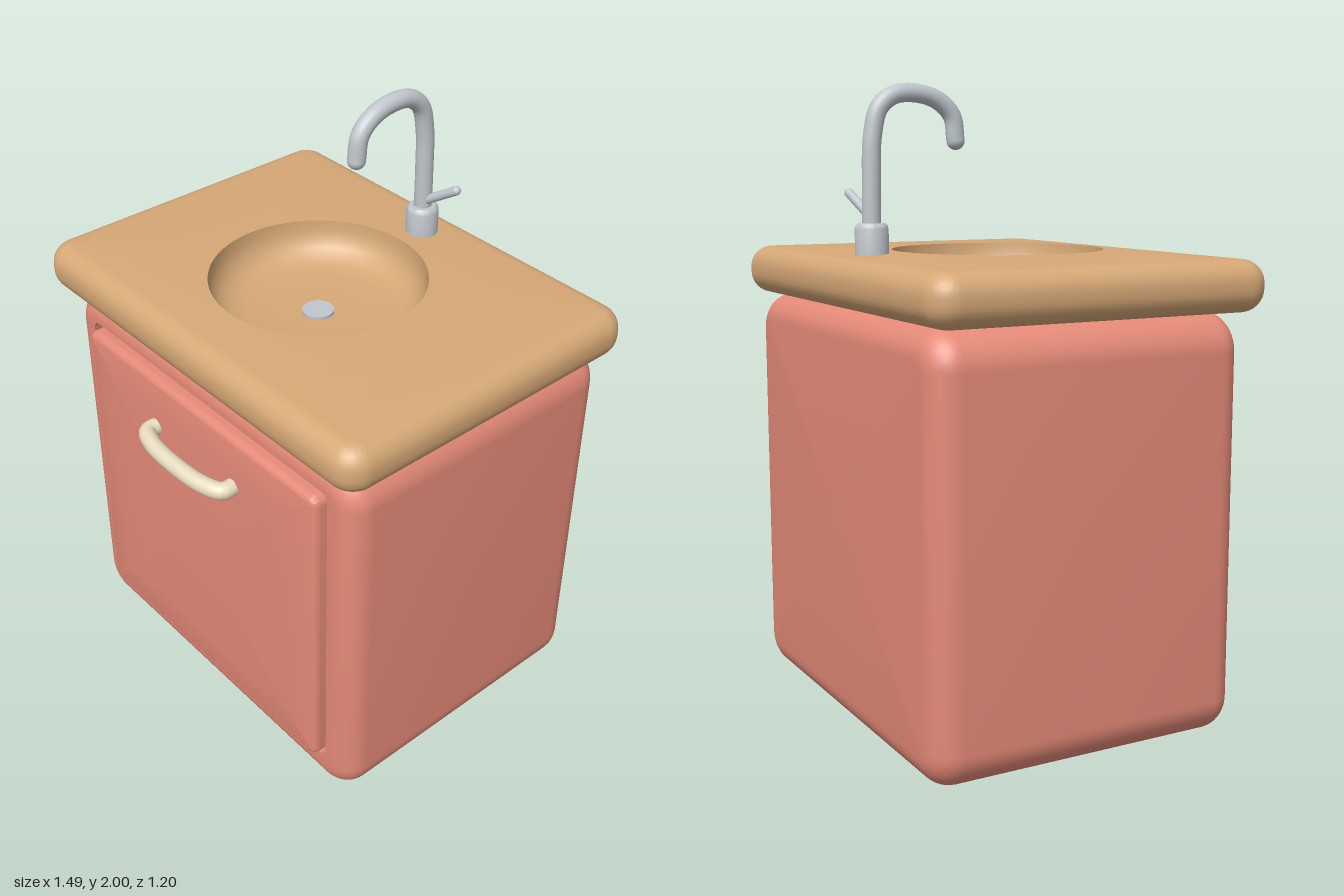
import * as THREE from 'three';
import { toCreasedNormals } from 'three/addons/utils/BufferGeometryUtils.js';

const paint = (color) => new THREE.MeshStandardMaterial({ color });
const coral = paint(0xe58a78);
const wood = paint(0xd6a877);
const metal = paint(0xc0c6cc);
const cream = paint(0xe8dcc0);

const CORNER = 16; // segments in each corner arc

// One rounded-rectangle outline at height z; r equal to both half sizes makes a circle
const ring = (hx, hy, r, z, cy = 0) => {
  const pts = [];
  r = Math.max(0, Math.min(r, hx, hy));
  [[1, 1], [-1, 1], [-1, -1], [1, -1]].forEach(([sx, sy], q) => {
    for (let i = 0; i <= CORNER; i++) {
      const a = (q + i / CORNER) * Math.PI / 2;
      pts.push([sx * (hx - r) + r * Math.cos(a), cy + sy * (hy - r) + r * Math.sin(a), z]);
    }
  });
  return pts;
};

// Rings of a quarter-round edge, at the bottom (dir -1) or the top (dir 1) of a block
const roundEdge = (hx, hy, r, e, z, dir, cy = 0, steps = 8) => {
  const rings = [];
  for (let i = 0; i <= steps; i++) {
    const t = (dir > 0 ? i : steps - i) / steps * Math.PI / 2;
    const inset = e * (1 - Math.cos(t));
    rings.push(ring(hx - inset, hy - inset, r - inset, z - dir * e * (1 - Math.sin(t)), cy));
  }
  return rings;
};

// Skin over a stack of rings, closed at both ends
function loft(rings) {
  const n = rings[0].length;
  const pos = rings.flat(2);
  const idx = [];
  for (let k = 0; k < rings.length - 1; k++) {
    for (let j = 0; j < n; j++) {
      const a = k * n + j, b = k * n + (j + 1) % n;
      idx.push(a, b, b + n, a, b + n, a + n);
    }
  }
  [rings[0], rings[rings.length - 1]].forEach((cap, side) => {
    const c = pos.length / 3;
    const base = side ? (rings.length - 1) * n : 0;
    pos.push(0, cap.reduce((s, p) => s + p[1], 0) / n, cap[0][2]);
    for (let j = 0; j < n; j++) {
      const a = base + j, b = base + (j + 1) % n;
      if (side) idx.push(a, b, c); else idx.push(b, a, c);
    }
  });
  const g = new THREE.BufferGeometry();
  g.setAttribute('position', new THREE.Float32BufferAttribute(pos, 3));
  g.setIndex(idx);
  return toCreasedNormals(g, 0.6);
}

const vec = (p) => new THREE.Vector3(...p);

export function createModel() {
  const model = new THREE.Group();
  model.name = 'sinkCabinet';
  const add = (name, geometry, material, parent = model) => {
    const mesh = new THREE.Mesh(geometry, material);
    mesh.name = name;
    parent.add(mesh);
    return mesh;
  };
  // Round bar through points, with ball ends
  const bar = (name, points, radius, material, parent) => {
    const group = new THREE.Group();
    group.name = name;
    parent.add(group);
    const path = new THREE.CatmullRomCurve3(points.map(vec));
    add(name + 'Tube', new THREE.TubeGeometry(path, 48, radius, 20), material, group);
    [points[0], points[points.length - 1]].forEach((p) =>
      add(name + 'End', new THREE.SphereGeometry(radius, 20, 14), material, group).position.set(...p));
  };

  // Cabinet with soft edges and a shallow recess for the door
  add('cabinet', loft([
    ...roundEdge(0.69, 0.66, 0.12, 0.09, -0.575, -1, 0.66),
    ...roundEdge(0.69, 0.66, 0.12, 0.08, 0.46, 1, 0.66),
    ring(0.58, 0.5525, 0.03, 0.46, 0.6775),
    ring(0.58, 0.5525, 0.03, 0.42, 0.6775),
  ]), coral);

  // Door, bulging slightly towards its middle
  const door = [ring(0.565, 0.541, 0.03, 0.42, 0.675),
    ...roundEdge(0.565, 0.541, 0.03, 0.025, 0.495, 1, 0.675)];
  for (const s of [0.8, 0.6, 0.4, 0.2]) {
    door.push(ring(0.54 * s, 0.516 * s, 0.005, 0.495 + 0.014 * (1 - s * s), 0.675));
  }
  add('door', loft(door), coral);

  // Bowed door handle
  bar('handle', [[-0.195, 1.04, 0.49], [-0.192, 1.04, 0.535], [-0.13, 1.04, 0.562], [0, 1.04, 0.572],
    [0.13, 1.04, 0.562], [0.192, 1.04, 0.535], [0.195, 1.04, 0.49]], 0.028, cream, model);

  // Countertop with the basin sunk into it
  const bowl = [[0.34, 1.487], [0.338, 1.455], [0.33, 1.425], [0.315, 1.4], [0.293, 1.38],
    [0.265, 1.367], [0.22, 1.359], [0.12, 1.355], [0.04, 1.354]];
  add('countertop', loft([
    ...roundEdge(0.745, 0.5625, 0.085, 0.07, 1.32, -1, 0.0375),
    ...roundEdge(0.745, 0.5625, 0.085, 0.07, 1.478, 1, 0.0375),
    ...bowl.map(([r, y]) => ring(r, r, r, y, 0.005)),
  ]), wood).rotation.x = -Math.PI / 2;

  // Drain in the basin floor
  add('drain', new THREE.CylinderGeometry(0.05, 0.05, 0.014, 32), metal).position.set(0, 1.357, -0.005);

  // Tap: bevelled base, curved spout and side lever
  const tap = new THREE.Group();
  tap.name = 'tap';
  model.add(tap);
  const baseProfile = [[0, 1.47], [0.052, 1.47], [0.052, 1.56], [0.049, 1.57], [0.042, 1.577], [0, 1.578]]
    .map(([r, y]) => new THREE.Vector2(r, y));
  add('tapBase', toCreasedNormals(new THREE.LatheGeometry(baseProfile, 32), 0.6), metal, tap)
    .position.z = -0.445;
  bar('spout', [[0, 1.55, -0.445], [0, 1.7, -0.444], [0, 1.84, -0.438], [0, 1.925, -0.415],
    [0, 1.964, -0.365], [0, 1.971, -0.295], [0, 1.952, -0.22], [0, 1.905, -0.168],
    [0, 1.828, -0.155]], 0.029, metal, tap);
  bar('lever', [[0.02, 1.602, -0.445], [0.122, 1.667, -0.466]], 0.015, metal, tap);

  return model;
}
